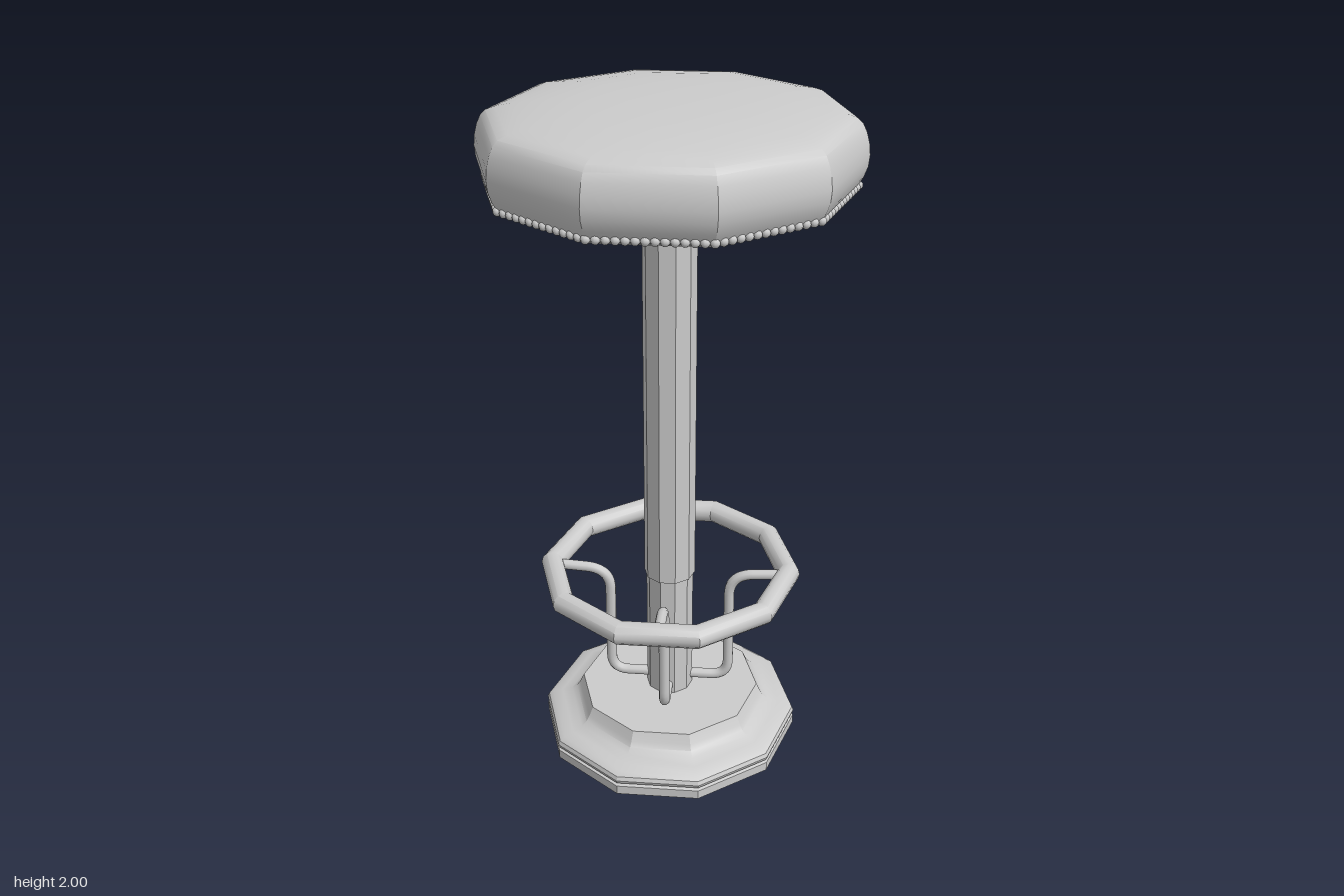
import * as THREE from 'three';
import { toCreasedNormals } from 'three/addons/utils/BufferGeometryUtils.js';

const SIDES = 10;
const DEPTH = 1 / Math.cos(Math.PI / SIDES); // makes the decagon as deep as it is wide
const material = new THREE.MeshStandardMaterial({ color: 0xcccccc });

function part(name, geometry) {
  const mesh = new THREE.Mesh(geometry, material);
  mesh.name = name;
  return mesh;
}

// Ten-sided turned part, corners on the x axis, crisp vertical edges
function turned(name, profile) {
  const points = profile.map(([r, y]) => new THREE.Vector2(r, y));
  const geometry = new THREE.LatheGeometry(points, SIDES, Math.PI / 2);
  geometry.scale(1, 1, DEPTH);
  return part(name, toCreasedNormals(geometry, 0.5));
}

// Row of upholstery studs along the lower edge of the seat
function createStuds(radius, y, perSide) {
  const studs = new THREE.Group();
  studs.name = 'seatStuds';
  const geometry = new THREE.SphereGeometry(0.0125, 8, 6);
  const corner = (i) => {
    const a = (i / SIDES) * Math.PI * 2;
    return new THREE.Vector3(radius * Math.cos(a), y, radius * DEPTH * Math.sin(a));
  };
  for (let i = 0; i < SIDES; i++) {
    for (let j = 0; j < perSide; j++) {
      const stud = part('stud', geometry);
      stud.position.lerpVectors(corner(i), corner(i + 1), j / perSide);
      studs.add(stud);
    }
  }
  return studs;
}

// Bent rod from the foot of the post up and out to the foot ring
function createBracketGeometry() {
  const v = (x, y) => new THREE.Vector3(x, y, 0);
  const path = new THREE.CurvePath();
  path.add(new THREE.LineCurve3(v(0.05, 0.18), v(0.13, 0.18)));
  path.add(new THREE.QuadraticBezierCurve3(v(0.13, 0.18), v(0.183, 0.18), v(0.183, 0.235)));
  path.add(new THREE.LineCurve3(v(0.183, 0.235), v(0.183, 0.48)));
  path.add(new THREE.QuadraticBezierCurve3(v(0.183, 0.48), v(0.183, 0.545), v(0.25, 0.553)));
  path.add(new THREE.LineCurve3(v(0.25, 0.553), v(0.36, 0.56)));
  return new THREE.TubeGeometry(path, 48, 0.016, 10);
}

export function createModel() {
  const stool = new THREE.Group();
  stool.name = 'barStool';

  // Stepped pedestal
  stool.add(turned('base', [
    [0, 0], [0.385, 0], [0.394, 0.008], [0.394, 0.036], [0.38, 0.041],
    [0.392, 0.046], [0.395, 0.056], [0.39, 0.068], [0.375, 0.078], [0.345, 0.086],
    [0.315, 0.094], [0.298, 0.106], [0.288, 0.122], [0.275, 0.15], [0, 0.15],
  ]));

  // Post with a slimmer lower section
  stool.add(turned('lowerPost', [[0.071, 0.14], [0.071, 0.56]]));
  stool.add(turned('upperPost', [[0, 0.555], [0.077, 0.555], [0.077, 1.77]]));

  // Foot ring
  const ring = new THREE.TorusGeometry(0.361, 0.034, 12, SIDES);
  ring.rotateX(Math.PI / 2);
  ring.scale(1, 1, DEPTH);
  const footRing = part('footRing', toCreasedNormals(ring, 0.55));
  footRing.position.y = 0.563;
  stool.add(footRing);

  // Four brackets, one on each side of the post
  const bracketGeometry = createBracketGeometry();
  for (let i = 0; i < 4; i++) {
    const bracket = part('ringBracket', bracketGeometry);
    bracket.rotation.y = (i * Math.PI) / 2;
    stool.add(bracket);
  }

  // Padded seat with a shallow domed top
  stool.add(turned('seat', [
    [0, 1.765], [0.493, 1.765], [0.503, 1.78], [0.515, 1.802], [0.525, 1.83],
    [0.528, 1.86], [0.525, 1.89], [0.517, 1.92], [0.506, 1.943], [0.492, 1.957],
    [0.465, 1.967], [0.42, 1.976], [0.34, 1.987], [0.24, 1.995], [0.12, 1.999], [0, 2],
  ]));
  stool.add(createStuds(0.502, 1.778, 13));

  return stool;
}
